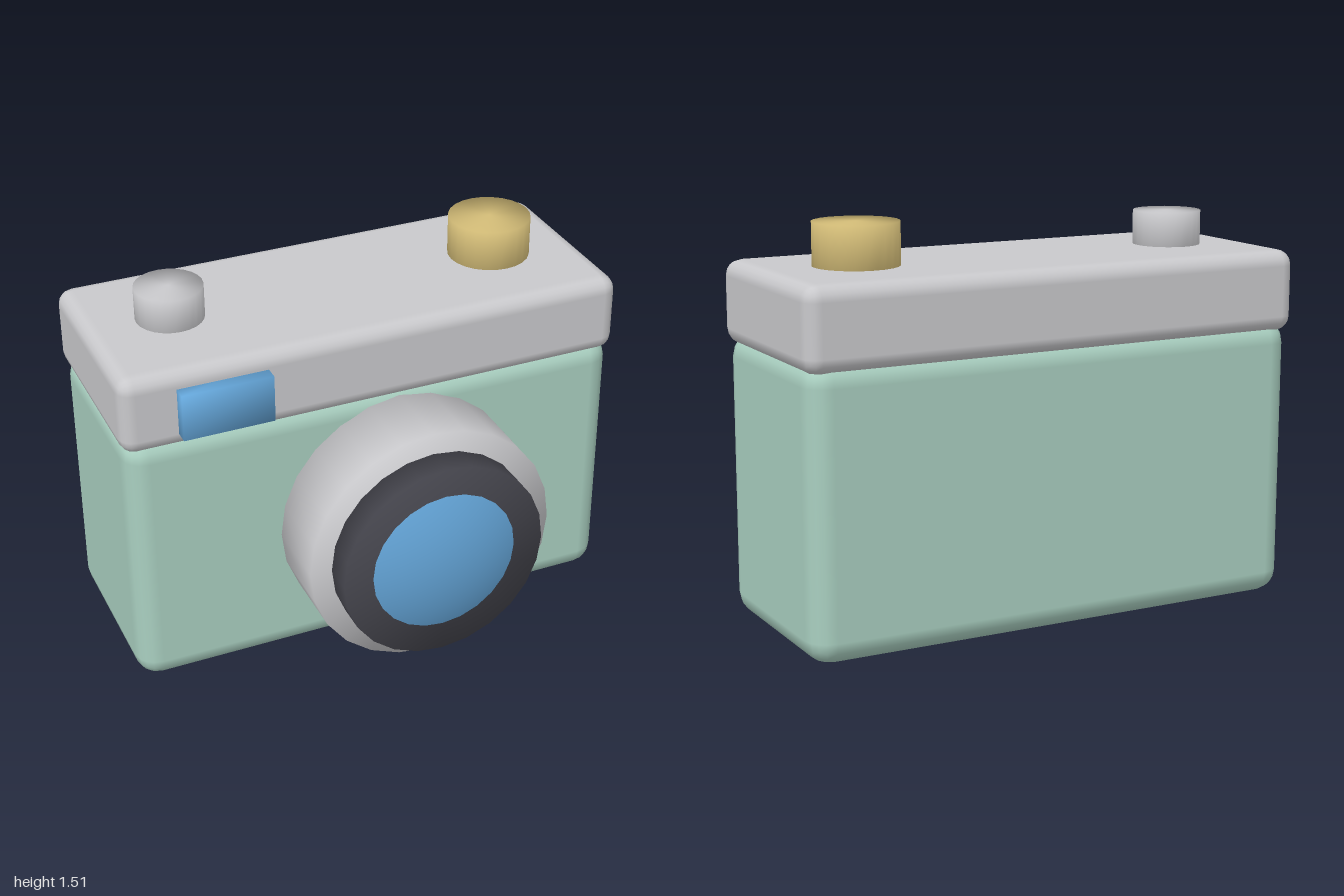
import * as THREE from 'three';
import { mergeVertices } from 'three/addons/utils/BufferGeometryUtils.js';
import { RoundedBoxGeometry } from 'three/addons/geometries/RoundedBoxGeometry.js';

const material = (name, color) => {
  const m = new THREE.MeshStandardMaterial({ color });
  m.name = name;
  return m;
};

// Weld vertices so the shading rolls softly over the rims
function soften(geometry) {
  geometry.deleteAttribute('normal');
  geometry.deleteAttribute('uv');
  const welded = mergeVertices(geometry, 1e-4);
  welded.computeVertexNormals();
  return welded;
}

export function createModel() {
  const group = new THREE.Group();
  group.name = 'camera';

  const mint = material('mint', 0xa9cfc0);
  const silver = material('silver', 0xc9c9cc);
  const dark = material('charcoal', 0x45454d);
  const blue = material('glassBlue', 0x64a5d8);
  const gold = material('gold', 0xd4bd78);

  const add = (name, geometry, mat, x, y, z) => {
    const mesh = new THREE.Mesh(geometry, mat);
    mesh.name = name;
    mesh.position.set(x, y, z);
    group.add(mesh);
    return mesh;
  };

  // Box parts given by their y and z ranges
  const roundedBox = (name, mat, width, y0, y1, z0, z1, radius) =>
    add(name, new RoundedBoxGeometry(width, y1 - y0, z1 - z0, 2, radius), mat,
      0, (y0 + y1) / 2, (z0 + z1) / 2);
  roundedBox('body', mint, 1.985, 0, 1.08, -0.625, 0.17, 0.09);
  roundedBox('topPlate', silver, 2.004, 1.035, 1.347, -0.632, 0.172, 0.06);

  // Viewfinder window
  add('viewfinder', soften(new THREE.BoxGeometry(0.35, 0.185, 0.12)), blue, -0.615, 1.188, 0.165);

  // Lens: barrel, dark ring and domed glass, all facing +z
  const lensX = 0.085, lensY = 0.545;
  const lensDisc = (name, mat, radius, z0, z1) => {
    const geometry = soften(new THREE.CylinderGeometry(radius, radius, z1 - z0, 24));
    geometry.rotateX(Math.PI / 2);
    add(name, geometry, mat, lensX, lensY, (z0 + z1) / 2);
  };
  lensDisc('lensBarrel', silver, 0.493, 0.1, 0.457);
  lensDisc('lensRing', dark, 0.407, 0.4, 0.572);

  const rim = 0.29, rise = 0.057;
  const sphereRadius = (rim * rim + rise * rise) / (2 * rise);
  const dome = new THREE.SphereGeometry(sphereRadius, 24, 8, 0, Math.PI * 2, 0, Math.asin(rim / sphereRadius));
  dome.rotateX(Math.PI / 2);
  add('lensGlass', dome, blue, lensX, lensY, 0.629 - sphereRadius);

  // Controls on the top plate
  const knob = (name, mat, radius, x, top) => {
    const bottom = 1.3;
    add(name, soften(new THREE.CylinderGeometry(radius, radius, top - bottom, 24)), mat,
      x, (top + bottom) / 2, -0.232);
  };
  knob('shutterButton', silver, 0.13, -0.673, 1.477);
  knob('windingKnob', gold, 0.16, 0.64, 1.506);

  return group;
}
